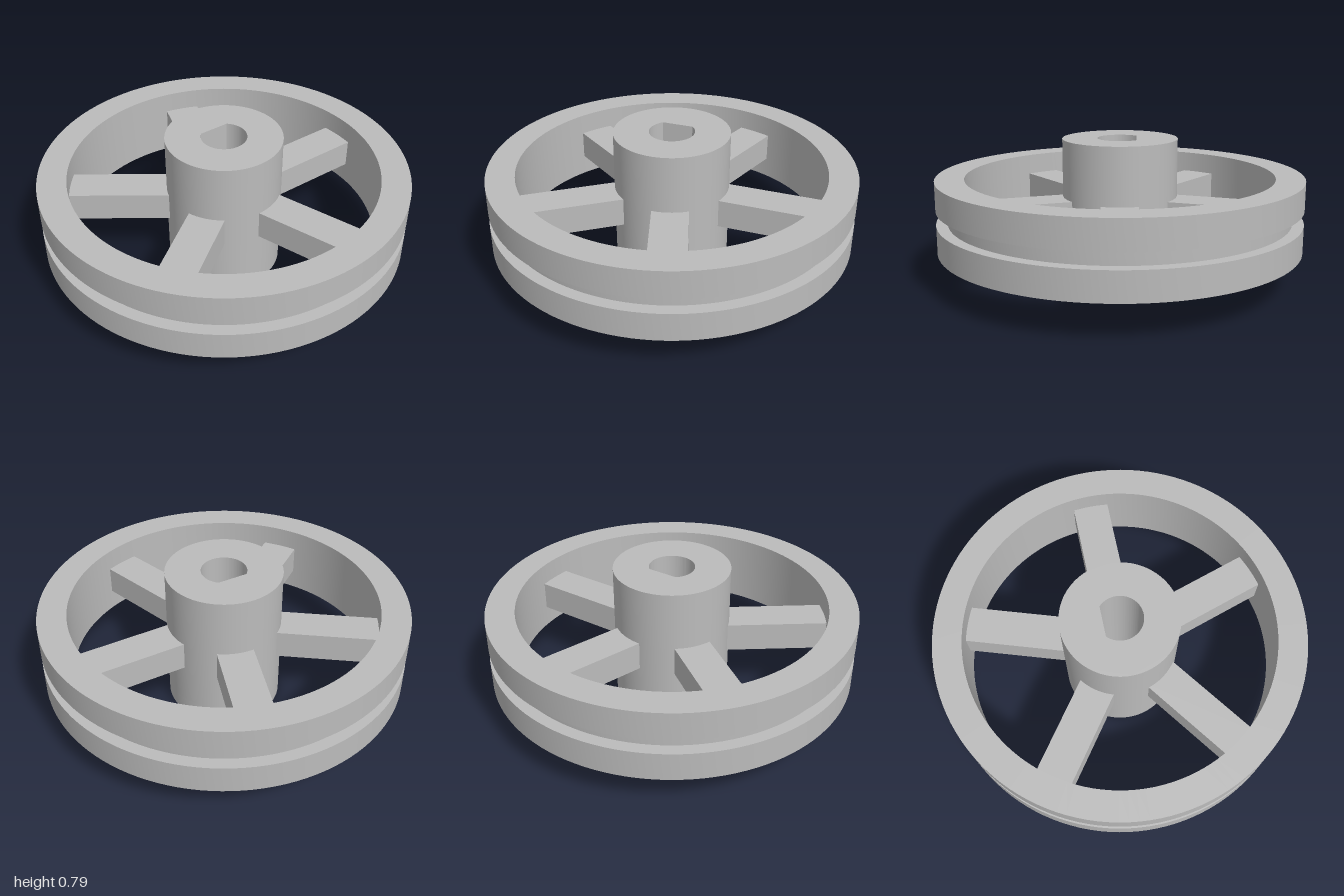
import * as THREE from 'three';
import { toCreasedNormals } from 'three/addons/utils/BufferGeometryUtils.js';

const HUB_R = 0.314, HUB_TOP = 0.79, RECESS = 0.09, MID = 0.395;

// Circular disc with a hole, standing upright between two heights
function drilledDisc(radius, hole, y0, y1) {
  const shape = new THREE.Shape().absarc(0, 0, radius, 0, Math.PI * 2, false);
  shape.holes.push(hole);
  const geo = new THREE.ExtrudeGeometry(shape, { depth: y1 - y0, bevelEnabled: false, curveSegments: 72 });
  geo.rotateX(-Math.PI / 2).translate(0, y0, 0);
  return toCreasedNormals(geo, 0.5);
}

export function createModel() {
  const wheel = new THREE.Group();
  wheel.name = 'pulleyWheel';
  const grey = new THREE.MeshStandardMaterial({ color: 0xbbbbbb });
  grey.name = 'grey';

  function add(name, geometry, parent = wheel) {
    const mesh = new THREE.Mesh(geometry, grey);
    mesh.name = name;
    parent.add(mesh);
    return mesh;
  }

  // Rim with a square belt groove around the middle
  const profile = [
    [0.843, 0.2], [1, 0.2], [1, 0.355], [0.938, 0.355], [0.938, 0.435],
    [1, 0.435], [1, 0.59], [0.843, 0.59], [0.843, 0.2],
  ].map(([r, y]) => new THREE.Vector2(r, y));
  add('rim', toCreasedNormals(new THREE.LatheGeometry(profile, 120), 0.5));

  // Hub: D-shaped bore above, round recess underneath
  const hub = new THREE.Group();
  hub.name = 'hub';
  wheel.add(hub);
  const boreR = 0.123, flat = Math.asin(0.09 / boreR);
  const bore = new THREE.Path().absarc(0, 0, boreR, Math.PI - flat, Math.PI * 2 + flat, false);
  bore.closePath();
  add('hubBody', drilledDisc(HUB_R, bore, RECESS, HUB_TOP), hub);
  const recess = new THREE.Path().absarc(0, 0, 0.195, 0, Math.PI * 2, false);
  add('hubRecessRing', drilledDisc(HUB_R, recess, 0, RECESS), hub);

  // Five bars sunk into the hub and the rim
  const spokeGeo = new THREE.BoxGeometry(0.64, 0.157, 0.197).translate(0.57, MID, 0);
  for (let i = 0; i < 5; i++) {
    add('spoke' + (i + 1), spokeGeo).rotation.y = (i * Math.PI * 2) / 5;
  }
  return wheel;
}
